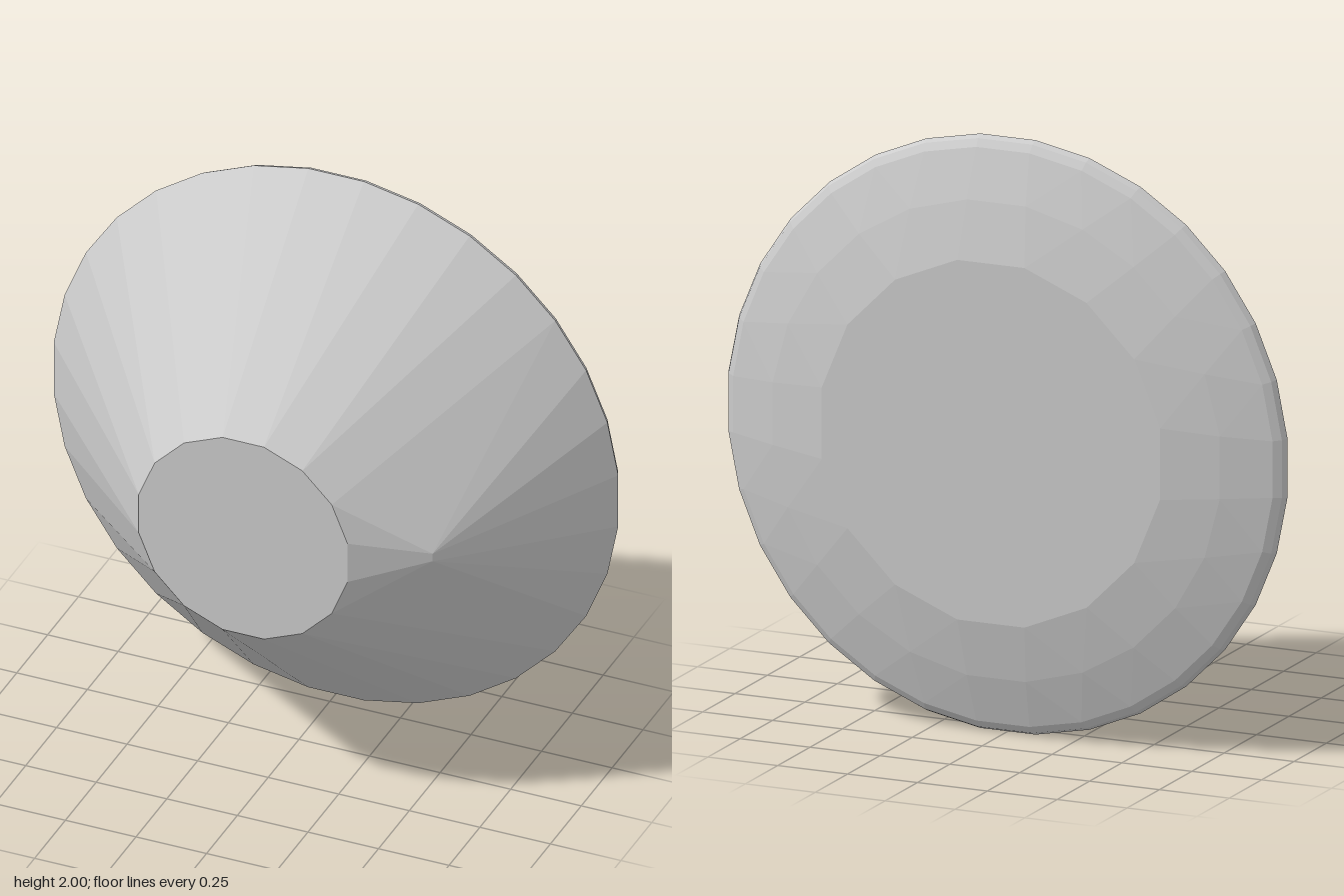
import * as THREE from 'three';
import { ConvexGeometry } from 'three/addons/geometries/ConvexGeometry.js';

// Regular ring of points facing z, turned half a step so flats lie on the axes
function ring(sides, flatRadius, z, x = 0, y = 1) {
  const r = flatRadius / Math.cos(Math.PI / sides);
  return Array.from({ length: sides }, (_, i) => {
    const a = ((i + 0.5) / sides) * Math.PI * 2;
    return new THREE.Vector3(x + r * Math.cos(a), y + r * Math.sin(a), z);
  });
}

export function createModel() {
  const points = [
    // small front face with its narrow chamfer
    ...ring(16, 0.37, 0.43, -0.01, 1.025),
    ...ring(16, 0.385, 0.41, -0.01, 1.025),
    // small bump on the left flank
    ...ring(6, 0.025, 0.29, 0.575, 1.025),
    ...ring(6, 0.028, 0.265, 0.585, 1.025),
    // wide rounded rim
    ...ring(32, 1, -0.3),
    ...ring(32, 0.99, -0.322),
    ...ring(32, 0.965, -0.34),
    // gently domed back ending in a flat disc
    ...ring(24, 0.8, -0.392),
    ...ring(16, 0.605, -0.433),
  ];

  const body = new THREE.Mesh(
    new ConvexGeometry(points),
    new THREE.MeshStandardMaterial({ color: 0xcccccc, flatShading: true })
  );
  body.name = 'taperedBody';

  const group = new THREE.Group();
  group.name = 'taperedDisc';
  group.add(body);
  return group;
}
